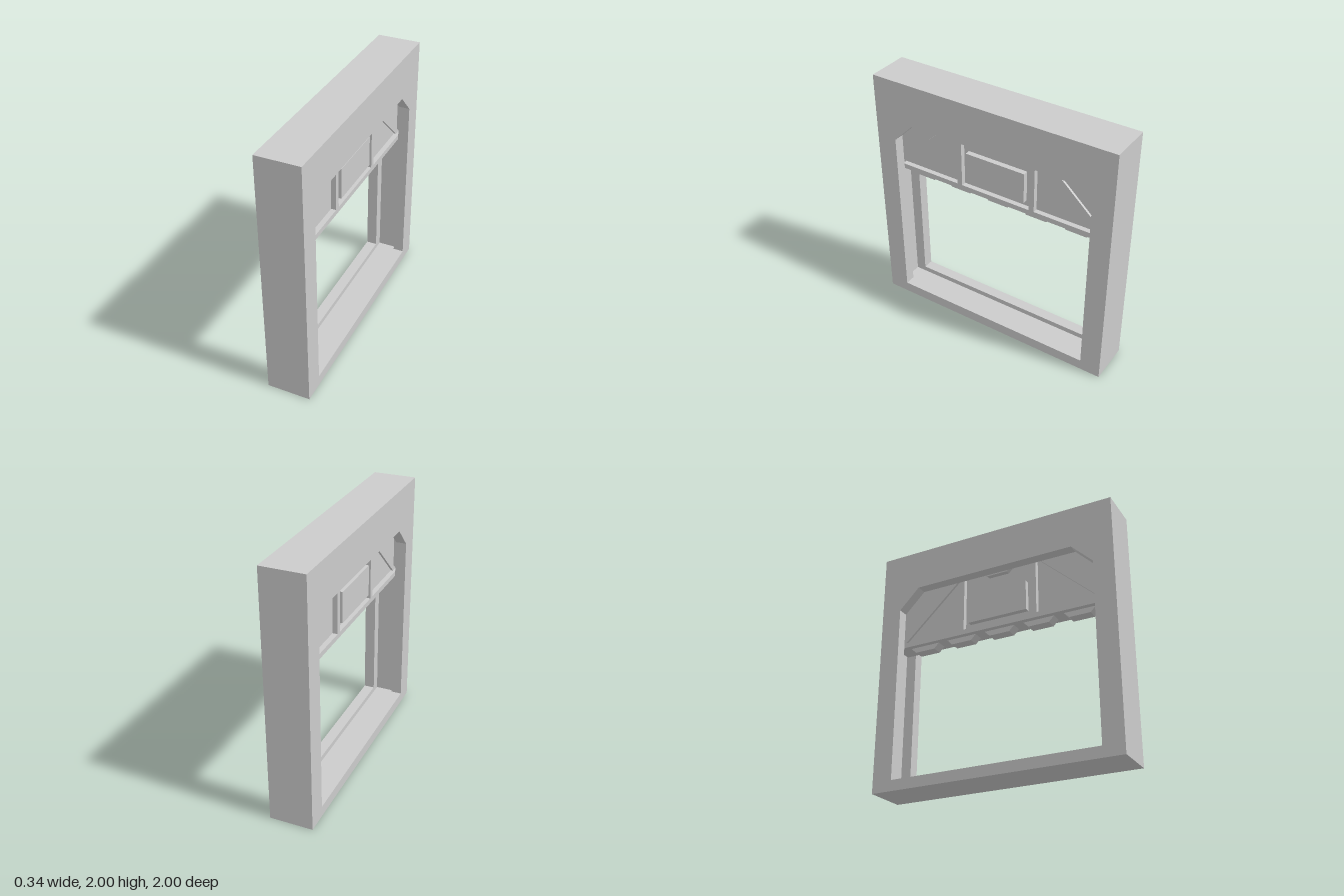
import * as THREE from 'three';

const material = new THREE.MeshStandardMaterial({ color: 0xcccccc, flatShading: true });

// Extrudes an outline drawn in [z, y] between two x positions.
function slab(name, outline, x0, x1, hole) {
  // Mirroring z flips the winding, so the order is reversed to stay counter-clockwise
  const toPoints = (list) => list.map(([z, y]) => new THREE.Vector2(-z, y)).reverse();
  const shape = new THREE.Shape(toPoints(outline));
  if (hole) shape.holes.push(new THREE.Path(toPoints(hole)));
  const geometry = new THREE.ExtrudeGeometry(shape, { depth: x1 - x0, bevelEnabled: false });
  geometry.rotateY(Math.PI / 2).translate(x0, 0, 0);
  const mesh = new THREE.Mesh(geometry, material);
  mesh.name = name;
  return mesh;
}

const rect = (z0, z1, y0, y1) => [[z0, y0], [z1, y0], [z1, y1], [z0, y1]];

export function createModel() {
  const model = new THREE.Group();
  model.name = 'shutterDoorway';

  // Frame: two face plates around a core whose larger hole forms the guide groove
  const frame = new THREE.Group();
  frame.name = 'frame';
  const outer = rect(-1, 1, 0, 2);
  const opening = [[-0.836, 0.085], [0.836, 0.085], [0.836, 1.5], [0.668, 1.667], [-0.668, 1.667], [-0.836, 1.5]];
  frame.add(
    slab('framePlateLeft', outer, 0.085, 0.17, opening),
    slab('framePlateRight', outer, -0.17, -0.085, opening),
    slab('frameCore', outer, -0.085, 0.085, rect(-0.92, 0.92, 0.043, 1.9)),
  );
  model.add(frame);

  // Half-raised door running in the groove
  const door = new THREE.Group();
  door.name = 'door';
  door.add(
    slab('doorPanel', rect(-0.91, 0.91, 1.22, 1.88), -0.042, 0.042),
    slab('bottomRail', rect(-0.91, 0.91, 1.2, 1.24), -0.082, 0.082),
  );

  // Teeth under the bottom rail
  for (let i = -2; i <= 2; i++) {
    const z = i * 0.333;
    door.add(slab('tooth', [[z - 0.085, 1.157], [z + 0.085, 1.157], [z + 0.127, 1.2], [z - 0.127, 1.2]], -0.042, 0.042));
  }

  // Raised details on both faces of the door
  for (const face of [1, -1]) {
    const raised = (name, outline, height) =>
      door.add(slab(name, outline, face > 0 ? 0.035 : -height, face > 0 ? height : -0.035));
    raised('centrePanel', rect(-0.25, 0.25, 1.287, 1.535), 0.084);
    raised('topTab', [[-0.085, 1.66], [0.085, 1.66], [0.165, 1.74], [-0.165, 1.74]], 0.082);
    for (const side of [1, -1]) {
      raised('uprightRib', rect(side * 0.292, side * 0.335, 1.24, 1.88), 0.082);
      const brace = [[0.851, 1.24], [0.91, 1.24], [0.369, 1.74], [0.309, 1.74]];
      raised('diagonalBrace', brace.map(([z, y]) => [side * z, y]), 0.06);
    }
  }
  model.add(door);
  return model;
}
